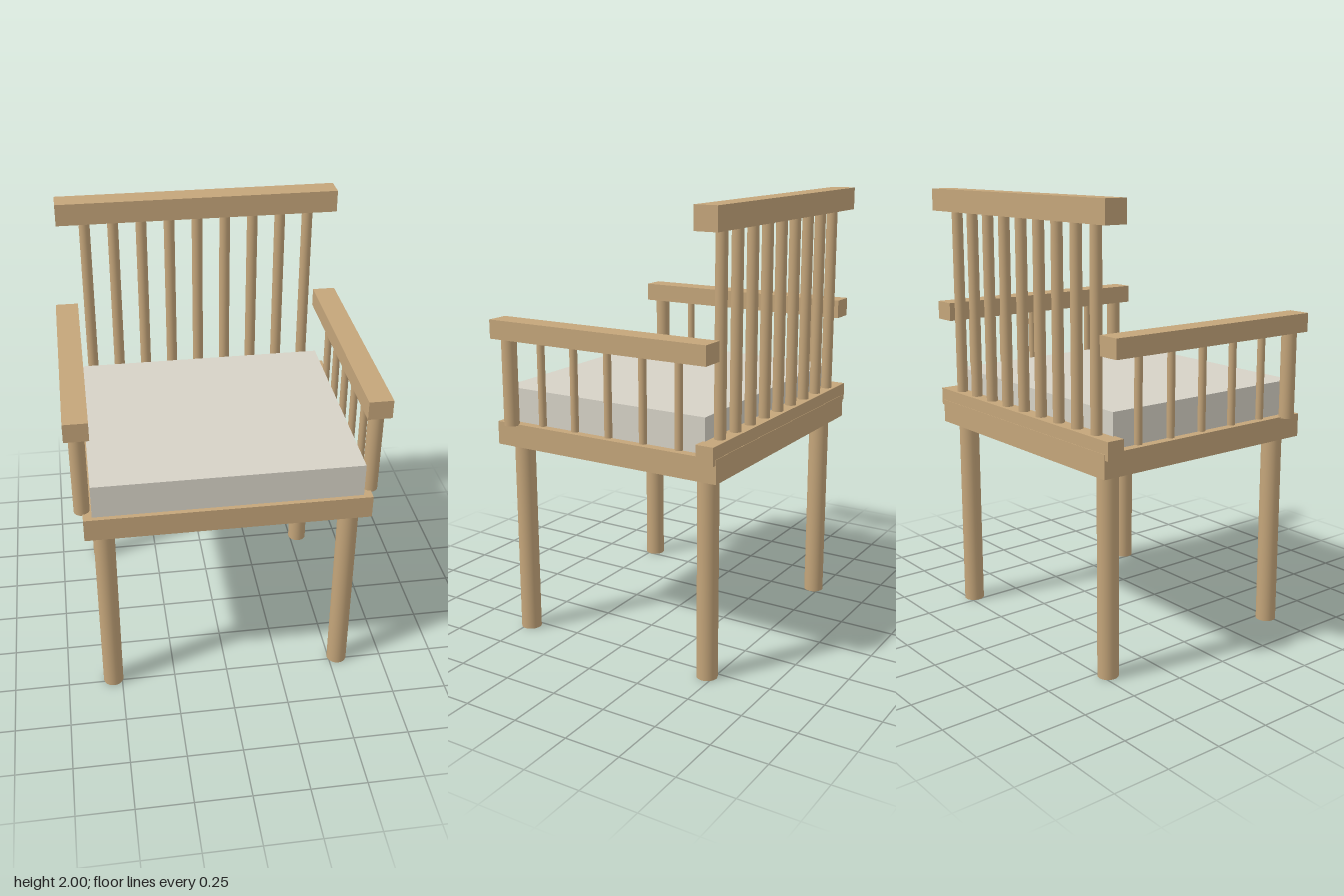
import * as THREE from 'three';

export function createModel() {
  const chair = new THREE.Group();
  chair.name = 'armchair';

  const wood = new THREE.MeshStandardMaterial({ color: 0xc4a57a });
  wood.name = 'wood';
  const fabric = new THREE.MeshStandardMaterial({ color: 0xd6d2c6 });
  fabric.name = 'fabric';

  // Box given by its extents on each axis
  function box(name, [x0, x1], [y0, y1], [z0, z1], material = wood) {
    const mesh = new THREE.Mesh(new THREE.BoxGeometry(x1 - x0, y1 - y0, z1 - z0), material);
    mesh.position.set((x0 + x1) / 2, (y0 + y1) / 2, (z0 + z1) / 2);
    mesh.name = name;
    chair.add(mesh);
  }

  // Upright round bar from y0 to y1
  function bar(name, x, z, radius, y0, y1) {
    const mesh = new THREE.Mesh(new THREE.CylinderGeometry(radius, radius, y1 - y0, 24), wood);
    mesh.position.set(x, (y0 + y1) / 2, z);
    mesh.name = name;
    chair.add(mesh);
  }

  // Seat and cushion
  box('seat', [-0.625, 0.625], [0.9, 1.005], [-0.553, 0.565]);
  box('cushion', [-0.587, 0.587], [1.006, 1.16], [-0.48, 0.545], fabric);

  // Back: lower rail, nine spindles, top rail
  box('lowerBackRail', [-0.645, 0.645], [0.98, 1.06], [-0.551, -0.47]);
  box('topRail', [-0.648, 0.648], [1.9, 2], [-0.565, -0.46]);
  for (let i = -4; i <= 4; i++) bar('backSpindle', i * 0.13, -0.511, 0.025, 1.04, 1.9);

  // Legs and arms, mirrored left and right
  for (const [side, s] of [['left', 1], ['right', -1]]) {
    bar(side + 'FrontLeg', s * 0.54, 0.485, 0.046, 0, 0.9);
    bar(side + 'BackLeg', s * 0.54, -0.47, 0.046, 0, 0.9);

    box(side + 'Armrest', s > 0 ? [0.574, 0.679] : [-0.679, -0.574], [1.39, 1.474], [-0.535, 0.545]);
    bar(side + 'ArmPost', s * 0.627, 0.484, 0.034, 1, 1.39);
    for (let i = 0; i < 5; i++) bar(side + 'ArmSpindle', s * 0.627, 0.31 - i * 0.173, 0.017, 1.02, 1.39);
  }

  return chair;
}
